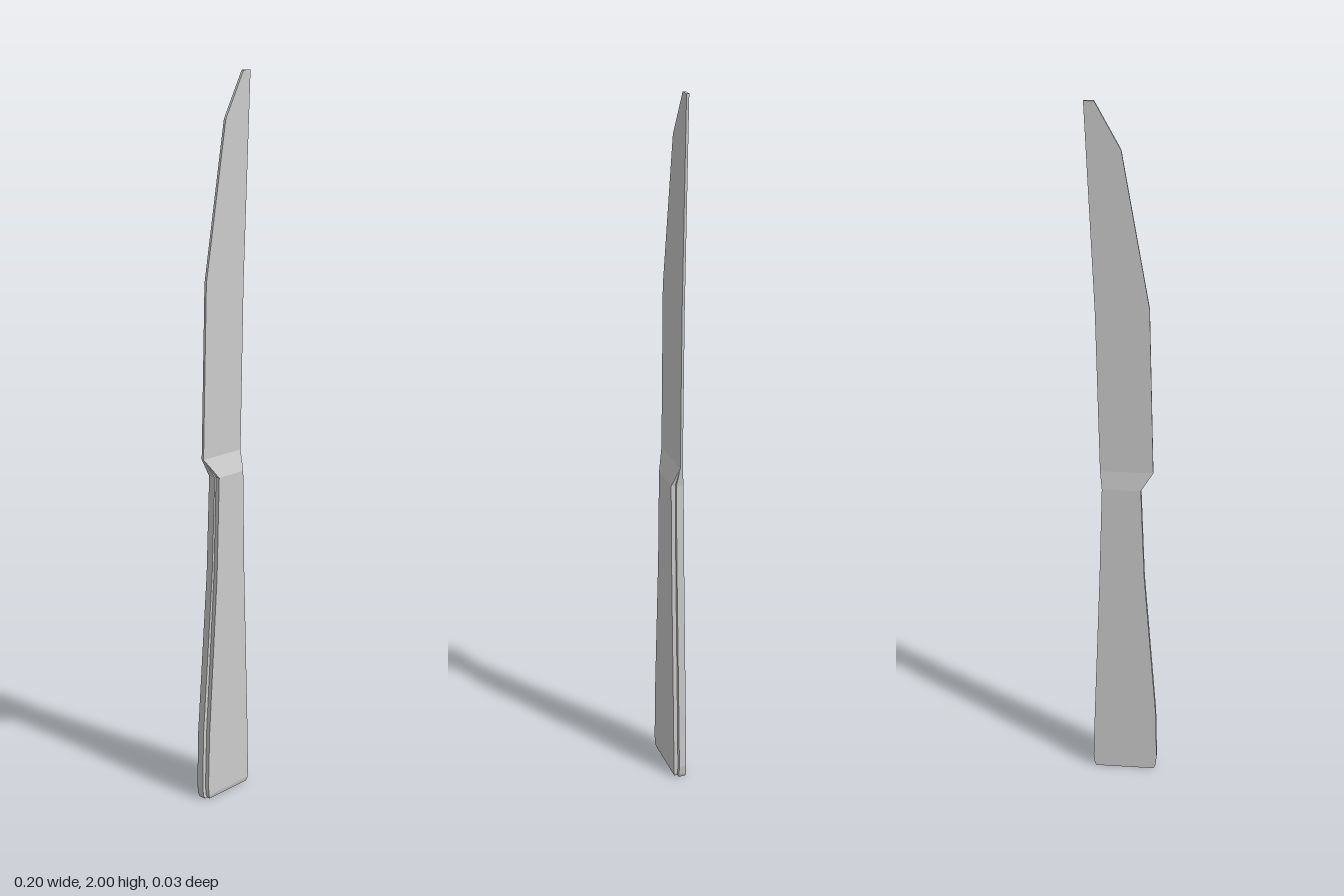
import * as THREE from 'three';

const material = new THREE.MeshStandardMaterial({ color: 0xcccccc, flatShading: true });

// Stepped cross-section: a wide back slab with a narrower raised front panel
function section([y, xl, xr, pl, pr, zb, zm, zf]) {
  return [
    [xl, zb], [xr, zb], [xr, zm], [pr, zm],
    [pr, zf], [pl, zf], [pl, zm], [xl, zm],
  ].map(([x, z]) => [x, y, z]);
}

// Skin a stack of sections from bottom to top, with optional end caps
function loft(rows, capBottom, capTop) {
  const rings = rows.map(section);
  const pos = [];
  const quad = (a, b, c, d) => pos.push(...a, ...b, ...c, ...a, ...c, ...d);
  for (let i = 0; i < rings.length - 1; i++) {
    for (let j = 0; j < 8; j++) {
      const k = (j + 1) % 8;
      quad(rings[i][j], rings[i + 1][j], rings[i + 1][k], rings[i][k]);
    }
  }
  if (capBottom) {
    const r = rings[0];
    quad(r[0], r[1], r[2], r[7]);
    quad(r[6], r[3], r[4], r[5]);
  }
  if (capTop) {
    const r = rings[rings.length - 1];
    quad(r[7], r[2], r[1], r[0]);
    quad(r[5], r[4], r[3], r[6]);
  }
  const geo = new THREE.BufferGeometry();
  geo.setAttribute('position', new THREE.Float32BufferAttribute(pos, 3));
  geo.computeVertexNormals();
  return geo;
}

export function createModel() {
  const group = new THREE.Group();
  const add = (name, geometry) => {
    const mesh = new THREE.Mesh(geometry, material);
    mesh.name = name;
    group.add(mesh);
    return mesh;
  };

  const zBack = -0.017, zStep = 0.004, zFront = 0.016;
  const bladeBack = -0.0125, bladeFront = -0.0055;
  const neck = [0.938, -0.048, 0.058, -0.043, 0.051, zBack, zStep, zFront];

  // Flared handle with chamfered butt
  add('handle', loft([
    [0, -0.09, 0.08, -0.081, 0.07, zBack, zStep, 0.013],
    [0.012, -0.096, 0.085, -0.086, 0.074, zBack, zStep, zFront],
    [0.04, -0.099, 0.088, -0.088, 0.075, zBack, zStep, zFront],
    [0.2, -0.095, 0.083, -0.083, 0.071, zBack, zStep, zFront],
    [0.66, -0.059, 0.066, -0.052, 0.056, zBack, zStep, zFront],
    neck,
  ], true, false));

  // Bolster tapering from the handle to the thin blade
  add('bolster', loft([
    neck,
    [0.992, -0.081, 0.063, -0.081, 0.063, bladeBack, bladeFront, bladeFront],
  ], false, false));

  // Flat blade: straight spine on the left, angled cutting edge on the right
  const outline = [
    [-0.081, 0.992], [0.063, 0.992], [0.073, 1.45], [0.097, 2],
    [0.071, 2], [0.005, 1.88], [-0.068, 1.465],
  ];
  const shape = new THREE.Shape(outline.map(([x, y]) => new THREE.Vector2(x, y)));
  const blade = add('blade', new THREE.ExtrudeGeometry(shape, {
    depth: bladeFront - bladeBack, bevelEnabled: false,
  }));
  blade.position.z = bladeBack;

  return group;
}
